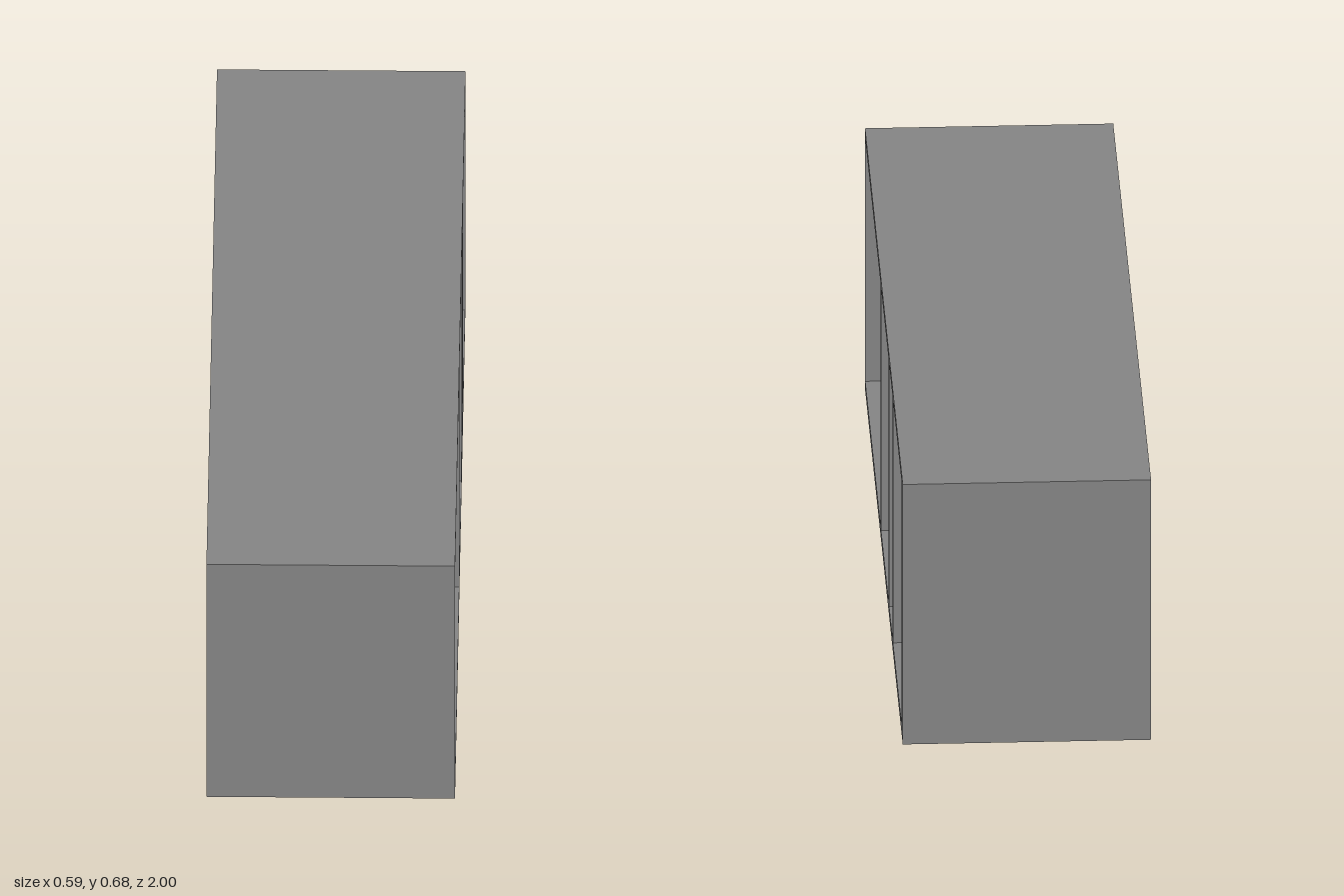
import * as THREE from 'three';

const HEIGHT = 0.678, HALF_WIDTH = 0.294, BACK = 0.02;
const FLOOR = 0.022, CEILING = 0.657;
// Front and rear z of each open compartment
const CELLS = [[0.991, 0.175], [0.154, -0.253], [-0.274, -0.455], [-0.477, -0.943]];

function rectangle(path, a0, y0, a1, y1) {
  path.moveTo(a0, y0);
  path.lineTo(a1, y0);
  path.lineTo(a1, y1);
  path.lineTo(a0, y1);
  path.closePath();
  return path;
}

export function createModel() {
  const group = new THREE.Group();
  group.name = 'shelfUnit';
  const material = new THREE.MeshStandardMaterial({ color: 0x858585 });

  // Outer casing and dividers: one slab pierced by the compartments
  const outline = rectangle(new THREE.Shape(), -1, 0, 1, HEIGHT);
  for (const [front, rear] of CELLS) {
    outline.holes.push(rectangle(new THREE.Path(), -front, FLOOR, -rear, CEILING));
  }
  const depth = 2 * HALF_WIDTH - BACK;
  const casingGeometry = new THREE.ExtrudeGeometry(outline, { depth, bevelEnabled: false });
  casingGeometry.rotateY(Math.PI / 2); // extrusion runs along +x, the open side
  const casing = new THREE.Mesh(casingGeometry, material);
  casing.name = 'casingWithDividers';
  casing.position.x = -HALF_WIDTH + BACK;
  group.add(casing);

  // Closed panel behind the compartments
  const panel = new THREE.Mesh(new THREE.BoxGeometry(BACK, HEIGHT, 2), material);
  panel.name = 'backPanel';
  panel.position.set(-HALF_WIDTH + BACK / 2, HEIGHT / 2, 0);
  group.add(panel);

  return group;
}
